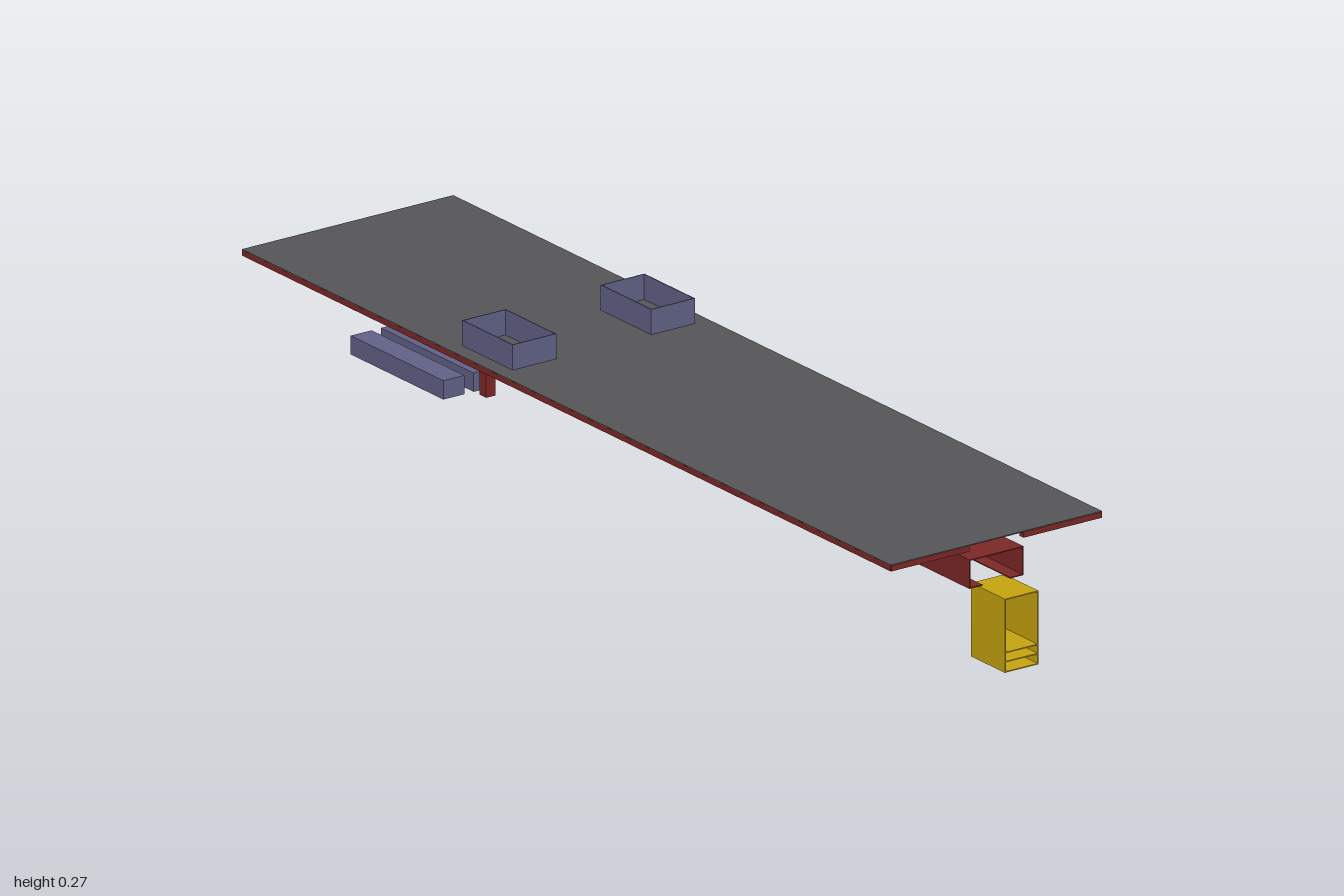
import * as THREE from 'three';

const mat = (color) => new THREE.MeshStandardMaterial({ color, side: THREE.DoubleSide, flatShading: true });

export function createModel() {
  const model = new THREE.Group();
  const red = mat(0x802828), grey = mat(0x56565a), blue = mat(0x62628a), yellow = mat(0xc8a60f);

  // Box given by its limits on each axis
  function box(name, material, [x0, x1], [y0, y1], [z0, z1], parent = model) {
    const mesh = new THREE.Mesh(new THREE.BoxGeometry(x1 - x0, y1 - y0, z1 - z0), material);
    mesh.position.set((x0 + x1) / 2, (y0 + y1) / 2, (z0 + z1) / 2);
    mesh.name = name;
    parent.add(mesh);
    return mesh;
  }
  // The same box on both sides of the centre line
  function pair(name, material, x, y, [z0, z1], parent = model) {
    box(name + 'Left', material, x, y, [z0, z1], parent);
    box(name + 'Right', material, x, y, [-z1, -z0], parent);
  }
  function group(name) {
    const g = new THREE.Group();
    g.name = name;
    model.add(g);
    return g;
  }

  const X0 = -1, X1 = 0.925, T = 0.002;

  // Deck plate
  box('deck', grey, [X0, X1], [0.218, 0.22], [-0.227, 0.227]);

  // Edge rails and cross ribs below the deck, open over the sill
  const frame = group('deckFrame');
  pair('sideRail', red, [X0, X1], [0.208, 0.2185], [0.222, 0.2272], frame);
  const ribs = [X0 + 0.005, -0.81, -0.61, -0.0375, 0.56, 0.75, X1 - 0.005];
  for (const x of ribs) {
    pair('crossRib', red, [x - 0.006, x + 0.006], [0.208, 0.2185], [0.058, 0.226], frame);
  }

  // Centre sill: hollow beam with a slot along the bottom
  const sill = group('centreSill');
  pair('sillWall', red, [X0, X1], [0.138, 0.192], [0.058 - T, 0.058], sill);
  pair('sillFlange', red, [X0, X1], [0.138, 0.138 + T], [0.03, 0.058], sill);
  box('sillTop', red, [X0, X1], [0.192 - T, 0.192], [-0.058, 0.058], sill);

  // Dividers in the sill, and pivot plates below two of them
  const pivots = [-0.32, 0.265];
  for (const x of [-0.81, -0.59, -0.0375, 0.56, 0.76, ...pivots]) {
    box('sillDivider', red, [x - 0.014, x + 0.014], [0.14, 0.191], [-0.03, 0.03], sill);
  }
  for (const x of pivots) {
    const plate = new THREE.Mesh(new THREE.CylinderGeometry(0.027, 0.027, 0.01, 16), red);
    plate.position.set(x, 0.136, 0);
    plate.name = 'pivotPlate';
    sill.add(plate);
  }

  // Hanging post
  box('post', red, [-0.595, -0.575], [0.025, 0.142], [-0.01, 0.01]);

  // Low weight bars
  pair('weightBar', blue, [-0.915, -0.64], [0.012, 0.047], [0.01, 0.055]);

  // Open trays on the deck
  for (const s of [-1, 1]) {
    const tray = group(s > 0 ? 'trayLeft' : 'trayRight');
    const y = [0.2195, 0.267], zc = s * 0.149, h = 0.047;
    for (const x of [-0.39, -0.24 - T]) box('trayEnd', blue, [x, x + T], y, [zc - h, zc + h], tray);
    for (const z of [zc - h, zc + h - T]) box('traySide', blue, [-0.39, -0.24], y, [z, z + T], tray);
  }

  // Yellow end bracket: a tube open to the front and back, with shelves
  const bracket = group('endBracket');
  const bx = [0.9, 1];
  pair('bracketSide', yellow, bx, [0, 0.137], [0.036 - T, 0.036], bracket);
  for (const y of [0, 0.019, 0.036, 0.137 - T]) {
    box('bracketPlate', yellow, bx, [y, y + T], [-0.036, 0.036], bracket);
  }

  return model;
}
